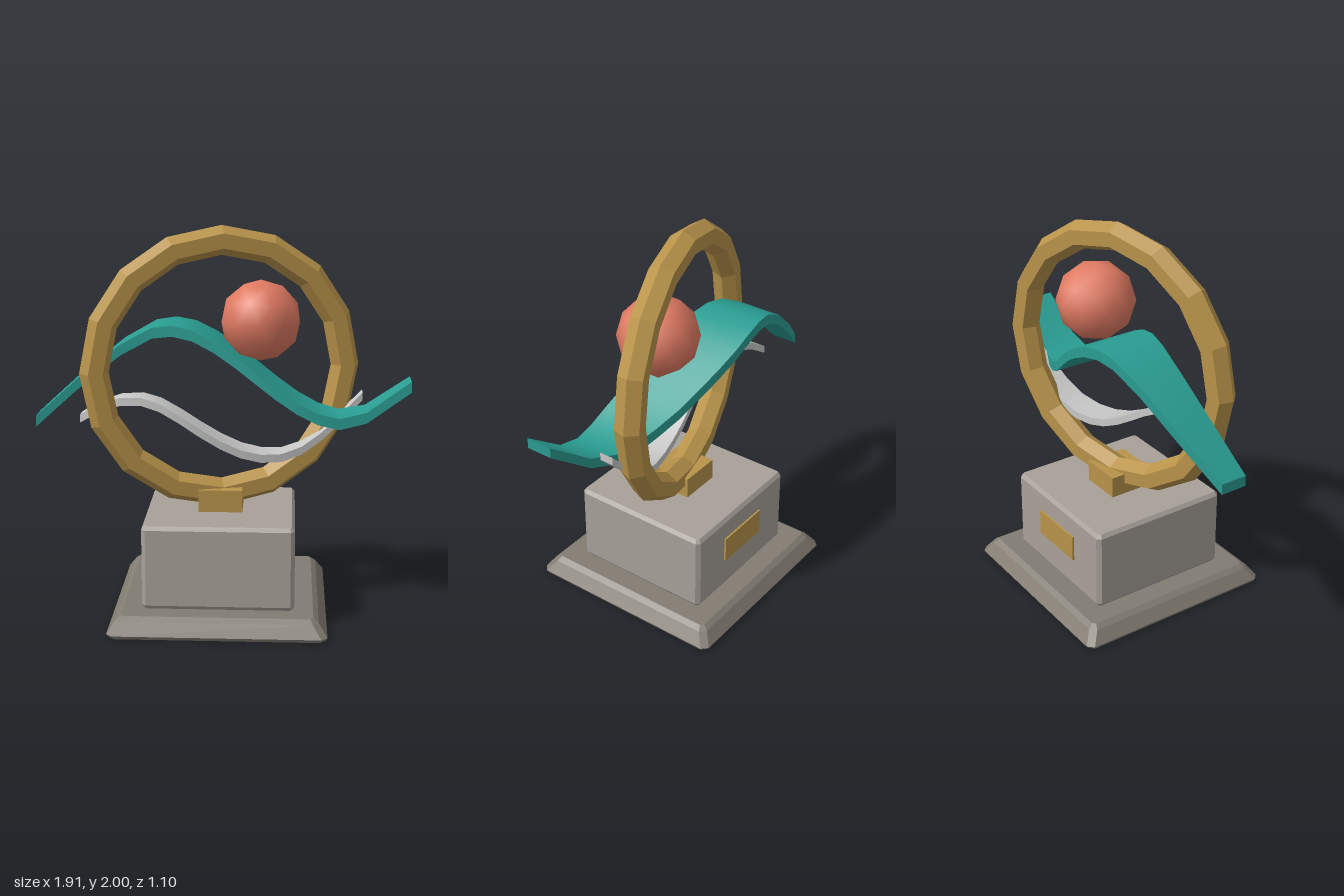
import * as THREE from 'three';
import { toCreasedNormals } from 'three/addons/utils/BufferGeometryUtils.js';

const mat = (name, color) => {
  const m = new THREE.MeshStandardMaterial({ color });
  m.name = name;
  return m;
};

// Skin a row of equal-sized cross-sections and cap both ends
function loft(sections, crease) {
  const n = sections[0].length, last = (sections.length - 1) * n, index = [];
  for (let i = 0; i < sections.length - 1; i++) {
    for (let j = 0; j < n; j++) {
      const a = i * n + j, b = i * n + (j + 1) % n;
      index.push(a, b, b + n, a, b + n, a + n);
    }
  }
  for (let k = 1; k < n - 1; k++) {
    index.push(0, k + 1, k, last, last + k, last + k + 1);
  }
  const g = new THREE.BufferGeometry();
  g.setAttribute('position', new THREE.Float32BufferAttribute(sections.flat(2), 3));
  g.setIndex(index);
  return toCreasedNormals(g, crease);
}

// Square block with cut corners, from [y, half width, corner cut] levels
function block(levels) {
  return loft(levels.map(([y, h, c]) => {
    const s = h - c;
    return [[h, s], [h, -s], [s, -h], [-s, -h], [-h, -s], [-h, s], [-s, h], [s, h]]
      .map(([x, z]) => [x, y, z]);
  }), 0.1);
}

// Wavy band along a path, wide in the middle and narrow at the ends
function ribbon(points, endWidth, swell, thickness, segments) {
  const path = new THREE.CatmullRomCurve3(points.map((p) => new THREE.Vector3(...p)));
  const sections = [];
  for (let i = 0; i <= segments; i++) {
    const t = i / segments, p = path.getPoint(t);
    const w = (endWidth + swell * Math.sin(Math.PI * t)) / 2, h = thickness / 2;
    sections.push([[h, -w], [h, w], [-h, w], [-h, -w]].map(([y, z]) => [p.x, p.y + y, p.z + z]));
  }
  return loft(sections, 0.6);
}

export function createModel() {
  const darkStone = mat('dark stone', 0x827c72);
  const lightStone = mat('light stone', 0xa8a199);
  const gold = mat('gold', 0xb8934a);
  const teal = mat('teal', 0x2a9d92);
  const silver = mat('silver', 0xc8c8c8);
  const coral = mat('coral', 0xe07a62);

  const model = new THREE.Group();
  model.name = 'trophy';
  const add = (name, geometry, material, x = 0, y = 0, z = 0) => {
    const m = new THREE.Mesh(geometry, material);
    m.name = name;
    m.position.set(x, y, z);
    model.add(m);
    return m;
  };

  // Stepped pedestal
  add('base', block([[0, 0.54, 0.03], [0.018, 0.55, 0.03], [0.08, 0.507, 0.03], [0.1, 0.48, 0.015]]), darkStone);
  add('plinth', block([[0.1, 0.37, 0.01], [0.12, 0.385, 0.02], [0.515, 0.385, 0.02], [0.535, 0.37, 0.01]]), lightStone);
  add('plaque', new THREE.BoxGeometry(0.315, 0.14, 0.012), gold, 0, 0.345, -0.389);
  add('collar', new THREE.BoxGeometry(0.225, 0.12, 0.225), gold, 0, 0.59, 0);

  // Faceted hoop, turned slightly about the vertical
  const hoop = toCreasedNormals(new THREE.TorusGeometry(0.655, 0.075, 6, 16), 0.1);
  add('hoop', hoop, gold, 0, 1.27, 0).rotation.y = 0.25;

  // Two flowing ribbons
  add('largeRibbon', ribbon([
    [-0.955, 0.995, -0.005], [-0.682, 1.235, -0.08], [-0.409, 1.43, -0.127], [-0.27, 1.465, -0.13],
    [-0.136, 1.44, -0.123], [0, 1.368, -0.1], [0.136, 1.275, -0.055], [0.273, 1.175, -0.01],
    [0.409, 1.09, 0.035], [0.546, 1.035, 0.065], [0.682, 1.035, 0.09], [0.955, 1.22, 0.123],
  ], 0.14, 0.235, 0.056, 14), teal);
  add('smallRibbon', ribbon([
    [-0.727, 1.01, 0.018], [-0.58, 1.095, 0.055], [-0.42, 1.125, 0.085], [-0.29, 1.09, 0.1],
    [-0.145, 0.998, 0.1], [0, 0.905, 0.08], [0.145, 0.84, 0.056], [0.29, 0.82, 0.022],
    [0.436, 0.862, -0.022], [0.58, 0.975, -0.06], [0.727, 1.12, -0.09],
  ], 0.075, 0.1, 0.042, 14), silver);

  // Ball with a vertex at its top
  const ball = new THREE.IcosahedronGeometry(0.207, 1);
  ball.rotateZ(-Math.atan(2 / (1 + Math.sqrt(5))));
  add('ball', ball, coral, 0.2, 1.52, 0);

  return model;
}
